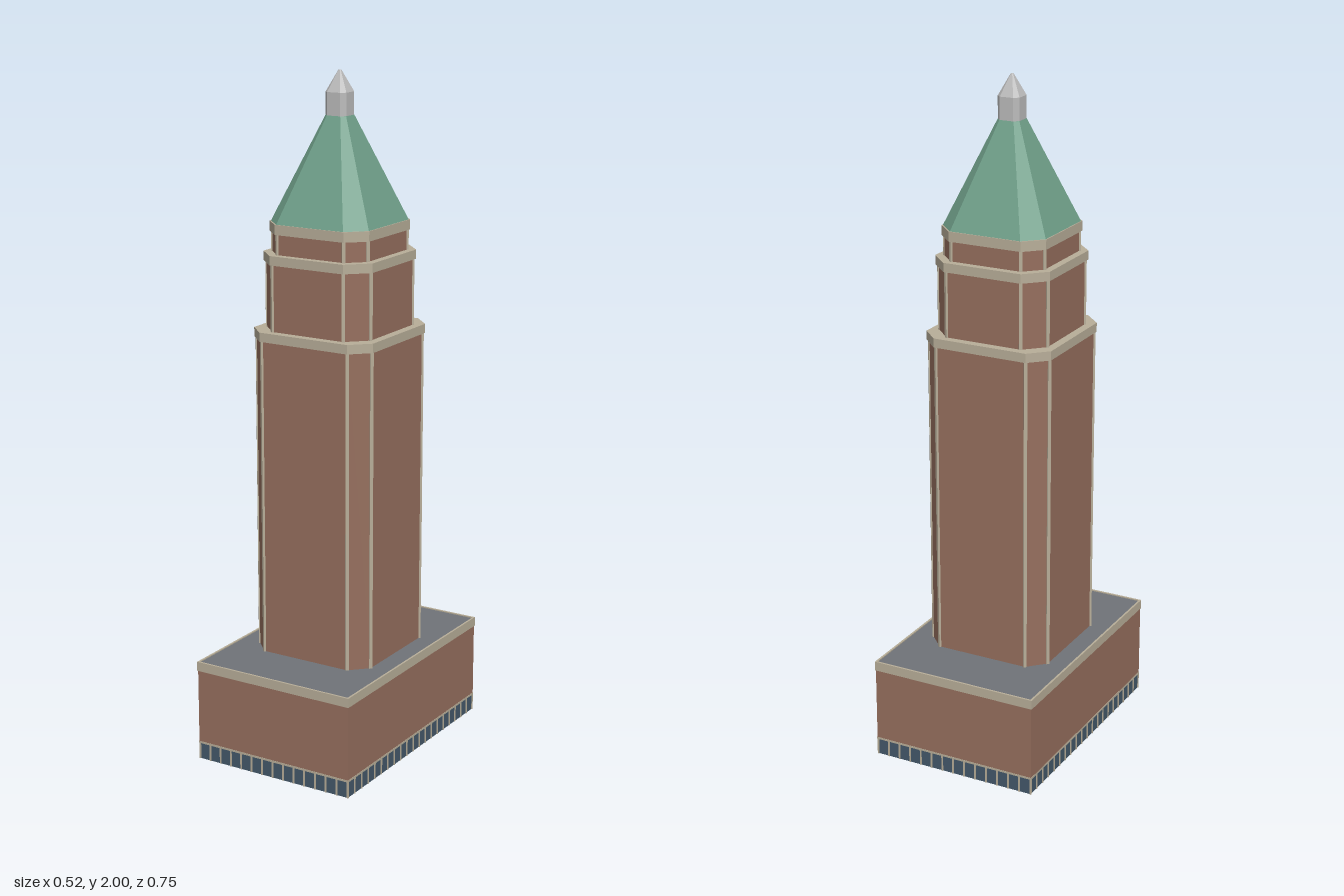
import * as THREE from 'three';
import { mergeGeometries } from 'three/addons/utils/BufferGeometryUtils.js';

const material = (name, color) => {
  const m = new THREE.MeshStandardMaterial({ color });
  m.name = name;
  return m;
};

// Chamfered square outline: half width h, chamfer starting at c (counter-clockwise in x, z)
const octagon = (h, c) => [
  [h, c], [c, h], [-c, h], [-h, c], [-h, -c], [-c, -h], [c, -h], [h, -c],
];

// Flat-faced solid through chamfered-square sections [h, c, y], bottom to top
function loft(sections) {
  const rings = sections.map(([h, c, y]) => octagon(h, c).map(([x, z]) => [x, y, z]));
  const p = [];
  const tri = (...v) => v.forEach((q) => p.push(...q));
  for (let k = 0; k < rings.length - 1; k++) {
    const a = rings[k], b = rings[k + 1];
    for (let i = 0; i < 8; i++) {
      const j = (i + 1) % 8;
      tri(a[i], b[j], a[j]);
      tri(a[i], b[i], b[j]);
    }
  }
  const bottom = rings[0], top = rings[rings.length - 1];
  for (let i = 1; i < 7; i++) {
    tri(bottom[0], bottom[i], bottom[i + 1]);
    tri(top[0], top[i + 1], top[i]);
  }
  const g = new THREE.BufferGeometry();
  g.setAttribute('position', new THREE.Float32BufferAttribute(p, 3));
  g.computeVertexNormals();
  return g;
}

// Hollow rectangular wall of half sizes w, d and thickness t
function wallRing(w, d, t, y0, y1) {
  const rect = (Type, a, b) => new Type([[-a, -b], [a, -b], [a, b], [-a, b]].map((q) => new THREE.Vector2(...q)));
  const shape = rect(THREE.Shape, w, d);
  shape.holes.push(rect(THREE.Path, w - t, d - t));
  return new THREE.ExtrudeGeometry(shape, { depth: y1 - y0, bevelEnabled: false })
    .rotateX(-Math.PI / 2).translate(0, y0, 0);
}

export function createModel() {
  const brick = material('brick', 0x966f5e);
  const stone = material('stone trim', 0xb8ae99);
  const glass = material('shopfront glass', 0x44586a);
  const slate = material('flat roof grey', 0x707378);
  const copper = material('green copper', 0x6f9f89);
  const metal = material('pale metal', 0xbcbcbc);
  slate.side = THREE.DoubleSide;

  const model = new THREE.Group();
  model.name = 'tower';
  const add = (name, geometry, mat, parent = model) => {
    const mesh = new THREE.Mesh(geometry, mat);
    mesh.name = name;
    parent.add(mesh);
    return mesh;
  };

  // Podium: hollow walls, open underneath
  const W = 0.257, D = 0.372;
  const podium = new THREE.Group();
  podium.name = 'podium';
  model.add(podium);
  add('shopfrontGlass', wallRing(W - 0.002, D - 0.002, 0.004, 0, 0.05), glass, podium);
  add('shopfrontLintel', wallRing(W + 0.001, D + 0.001, 0.006, 0.049, 0.055), stone, podium);
  add('podiumWalls', wallRing(W, D, 0.004, 0.055, 0.277), brick, podium);
  add('podiumCornice', wallRing(W + 0.002, D + 0.002, 0.006, 0.277, 0.305), stone, podium);
  add('podiumRoof', new THREE.PlaneGeometry(2 * W - 0.006, 2 * D - 0.006)
    .rotateX(-Math.PI / 2).translate(0, 0.302, 0), slate, podium);

  // Shopfront mullions on all four sides
  const mullions = [];
  const post = (x, z) => mullions.push(new THREE.BoxGeometry(0.005, 0.05, 0.005).translate(x, 0.025, z));
  for (const s of [-1, 1]) {
    for (let i = 0; i <= 14; i++) post((W - 0.002) * (i / 7 - 1), s * (D - 0.002));
    for (let i = 1; i < 20; i++) post(s * (W - 0.002), (D - 0.002) * (i / 10 - 1));
  }
  add('mullions', mergeGeometries(mullions), stone, podium);

  // Stepped shaft: wall, corner strips and cornice for each tier
  const tiers = [
    { name: 'shaft', h: 0.193, c: 0.143, y0: 0.302, y1: 1.27, band: 0.027, lip: 0.006 },
    { name: 'upperTier', h: 0.174, c: 0.118, y0: 1.27, y1: 1.49, band: 0.027, lip: 0.007 },
    { name: 'crownTier', h: 0.159, c: 0.11, y0: 1.49, y1: 1.577, band: 0.029, lip: 0.006 },
  ];
  for (const { name, h, c, y0, y1, band, lip } of tiers) {
    const tier = new THREE.Group();
    tier.name = name;
    model.add(tier);
    const yb = y1 - band;
    add(name + 'Walls', loft([[h, c, y0], [h, c, yb]]), brick, tier);
    add(name + 'Cornice', loft([[h + lip, c + lip / 2, yb], [h + lip, c + lip / 2, y1]]), stone, tier);
    const strips = octagon(h - 0.002, c - 0.001).map(([x, z]) =>
      new THREE.BoxGeometry(0.01, yb - y0, 0.01)
        .rotateY(-Math.atan2(z, x)).translate(x, (y0 + yb) / 2, z));
    add(name + 'CornerStrips', mergeGeometries(strips), stone, tier);
  }

  // Pyramid roof and lantern
  add('pyramidRoof', loft([[0.162, 0.11, 1.577], [0.034, 0.022, 1.875]]), copper);
  add('lantern', loft([[0.034, 0.021, 1.875], [0.034, 0.021, 1.94], [0.004, 0.002, 2]]), metal);
  return model;
}
